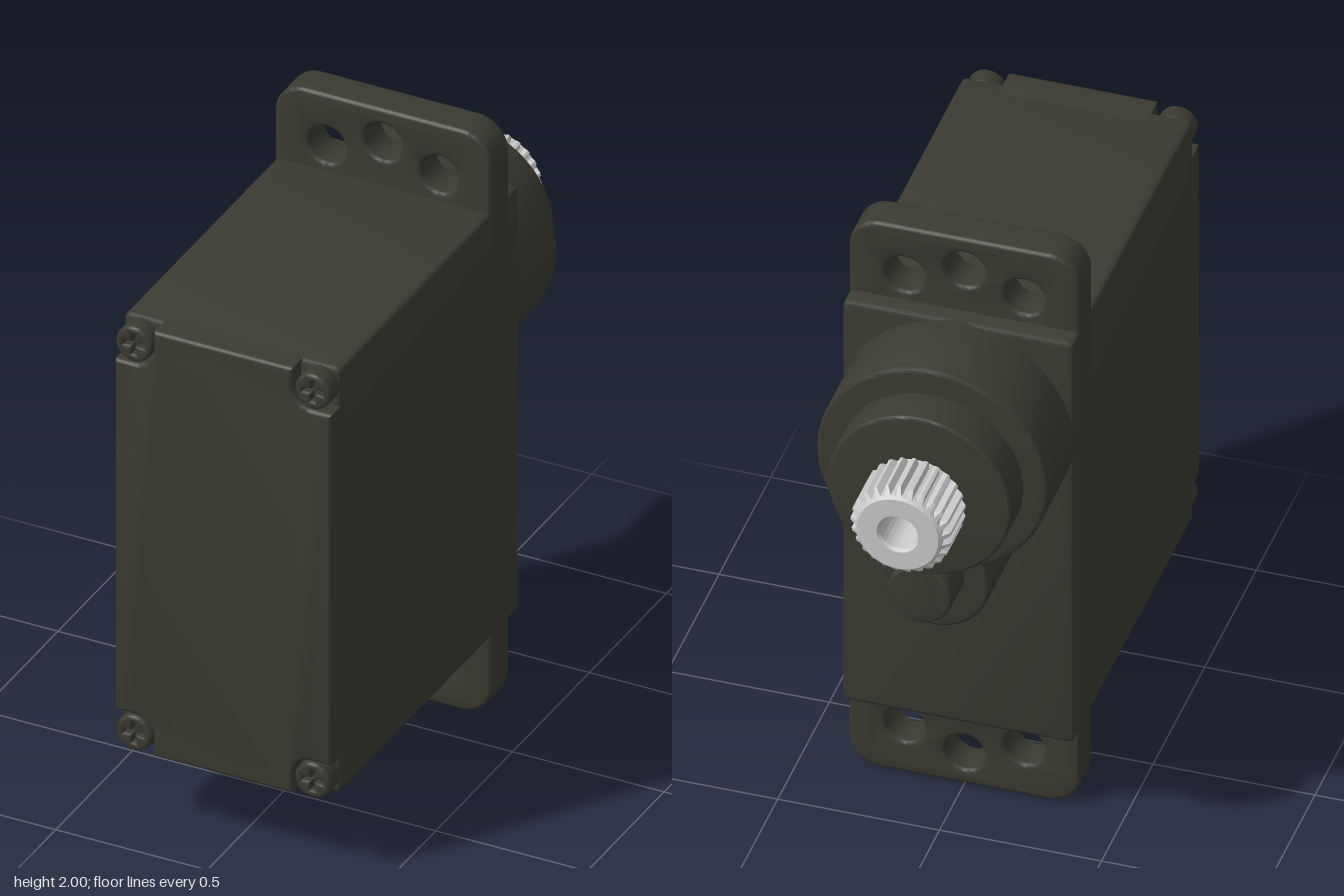
import * as THREE from 'three';
import { toCreasedNormals } from 'three/addons/utils/BufferGeometryUtils.js';

const HALF_W = 0.357, BOTTOM = 0.272, TOP = 1.737, MID = 1.0045;
const SHAFT_Y = 1.375;
const plastic = new THREE.MeshStandardMaterial({ color: 0x3a3a31 });
const metal = new THREE.MeshStandardMaterial({ color: 0xcccccc });

// Extrude a shape between two z positions with softly rounded rims.
function slab(name, shape, z0, z1, bevel, curveSegments = 16) {
  const geo = new THREE.ExtrudeGeometry(shape, {
    depth: z1 - z0 - 2 * bevel, bevelEnabled: true, bevelThickness: bevel,
    bevelSize: bevel, bevelOffset: -bevel, bevelSegments: 3, curveSegments,
  });
  geo.translate(0, 0, z0 + bevel);
  const mesh = new THREE.Mesh(toCreasedNormals(geo, 0.6), plastic);
  mesh.name = name;
  return mesh;
}

function roundedRect(x0, y0, x1, y1, r) {
  const s = new THREE.Shape();
  s.absarc(x1 - r, y0 + r, r, -Math.PI / 2, 0);
  s.absarc(x1 - r, y1 - r, r, 0, Math.PI / 2);
  s.absarc(x0 + r, y1 - r, r, Math.PI / 2, Math.PI);
  s.absarc(x0 + r, y0 + r, r, Math.PI, Math.PI * 1.5);
  s.closePath();
  return s;
}

function circleHole(x, y, r) {
  const p = new THREE.Path();
  p.absarc(x, y, r, 0, Math.PI * 2, true);
  return p;
}

// Outline of a large circle merged with a smaller lobe below it.
function lobedCircle(cy, R, ly, r) {
  const d = cy - ly;
  const a = (d * d + R * R - r * r) / (2 * d);
  const h = Math.sqrt(R * R - a * a);
  const s = new THREE.Shape();
  s.absarc(0, cy, R, Math.atan2(-a, h), Math.atan2(-a, -h) + Math.PI * 2);
  s.absarc(0, ly, r, Math.atan2(d - a, -h), Math.atan2(d - a, h) + Math.PI * 2);
  s.closePath();
  return s;
}

// Cover outline with a round-cornered pocket in each corner for a screw.
function notchedRect() {
  const r = 0.066, cx = 0.295, hy = (TOP - BOTTOM) / 2, cy = hy - 0.062;
  const s = new THREE.Shape();
  const P = Math.PI;
  s.moveTo(HALF_W, MID - cy + r);
  s.lineTo(HALF_W, MID + cy - r);
  s.absarc(cx, MID + cy, r, -P / 2, -P, true);
  s.lineTo(cx - r, MID + hy);
  s.lineTo(-cx + r, MID + hy);
  s.absarc(-cx, MID + cy, r, 0, -P / 2, true);
  s.lineTo(-HALF_W, MID + cy - r);
  s.lineTo(-HALF_W, MID - cy + r);
  s.absarc(-cx, MID - cy, r, P / 2, 0, true);
  s.lineTo(-cx + r, MID - hy);
  s.lineTo(cx - r, MID - hy);
  s.absarc(cx, MID - cy, r, P, P / 2, true);
  s.closePath();
  return s;
}

// Round screw head with a cross-shaped recess.
function makeScrew(x, y) {
  const screw = new THREE.Group();
  screw.name = 'coverScrew';
  const head = new THREE.Shape();
  head.absarc(0, 0, 0.059, 0, Math.PI * 2);
  const L = 0.034, w = 0.007;
  const cross = [[L, -w], [L, w], [w, w], [w, L], [-w, L], [-w, w],
    [-L, w], [-L, -w], [-w, -w], [-w, -L], [w, -L], [w, -w]];
  head.holes.push(new THREE.Path(cross.map(([a, b]) => new THREE.Vector2(a, b)).reverse()));
  screw.add(slab('screwHead', head, 0.83, 0.9, 0.01));
  const floor = new THREE.Mesh(new THREE.CircleGeometry(0.045, 20), plastic);
  floor.name = 'screwRecessFloor';
  floor.position.z = 0.87;
  screw.add(floor);
  screw.position.set(x, y, 0);
  return screw;
}

// Splined output shaft: a turned profile whose grooves are cut to a smaller radius.
function makeShaft() {
  const teeth = 25, groove = 0.134;
  const profile = [[0.125, 0], [groove, 0.009], [0.155, 0.03], [0.155, 0.175],
    [groove, 0.196], [0.125, 0.205], [0.065, 0.205], [0.058, 0.195], [0.058, 0.03], [0, 0.03]]
    .map(([r, y]) => new THREE.Vector2(r, y));
  const geo = new THREE.LatheGeometry(profile, teeth * 4);
  const pos = geo.attributes.position;
  for (let i = 0; i < pos.count; i++) {
    const step = Math.floor(i / profile.length) % 4;
    const r = Math.hypot(pos.getX(i), pos.getZ(i));
    if (step >= 2 && r > groove) {
      pos.setX(i, pos.getX(i) * groove / r);
      pos.setZ(i, pos.getZ(i) * groove / r);
    }
  }
  geo.rotateX(-Math.PI / 2);
  const mesh = new THREE.Mesh(toCreasedNormals(geo, 0.3), metal);
  mesh.name = 'outputShaft';
  mesh.position.set(0, SHAFT_Y, -0.7);
  return mesh;
}

export function createModel() {
  const model = new THREE.Group();
  model.name = 'servoMotor';

  // Case and front cover
  model.add(slab('case', roundedRect(-HALF_W, BOTTOM, HALF_W, TOP, 0.02), -0.325, 0.84, 0.015, 4));
  model.add(slab('frontCover', notchedRect(), 0.78, 0.9, 0.012, 8));

  // Mounting flange with three holes at each end
  const flange = roundedRect(-HALF_W, 0, HALF_W, 2, 0.1);
  for (const side of [-1, 1]) {
    for (const [x, dy] of [[-0.185, 0.827], [0, 0.887], [0.185, 0.827]]) {
      flange.holes.push(circleHole(x, 1 + side * dy, 0.062));
    }
  }
  model.add(slab('mountingFlange', flange, -0.26, -0.14, 0.012));

  // Stepped gear housing on the back
  model.add(slab('gearHousing', lobedCircle(SHAFT_Y + 0.005, HALF_W, 0.98, 0.175), -0.575, -0.28, 0.012, 32));
  model.add(slab('shaftCollar', lobedCircle(SHAFT_Y - 0.005, 0.283, 1.005, 0.1), -0.7, -0.55, 0.01, 32));
  model.add(makeShaft());

  // Cover screws
  for (const x of [-0.295, 0.295]) {
    for (const y of [BOTTOM + 0.062, TOP - 0.062]) model.add(makeScrew(x, y));
  }
  return model;
}
